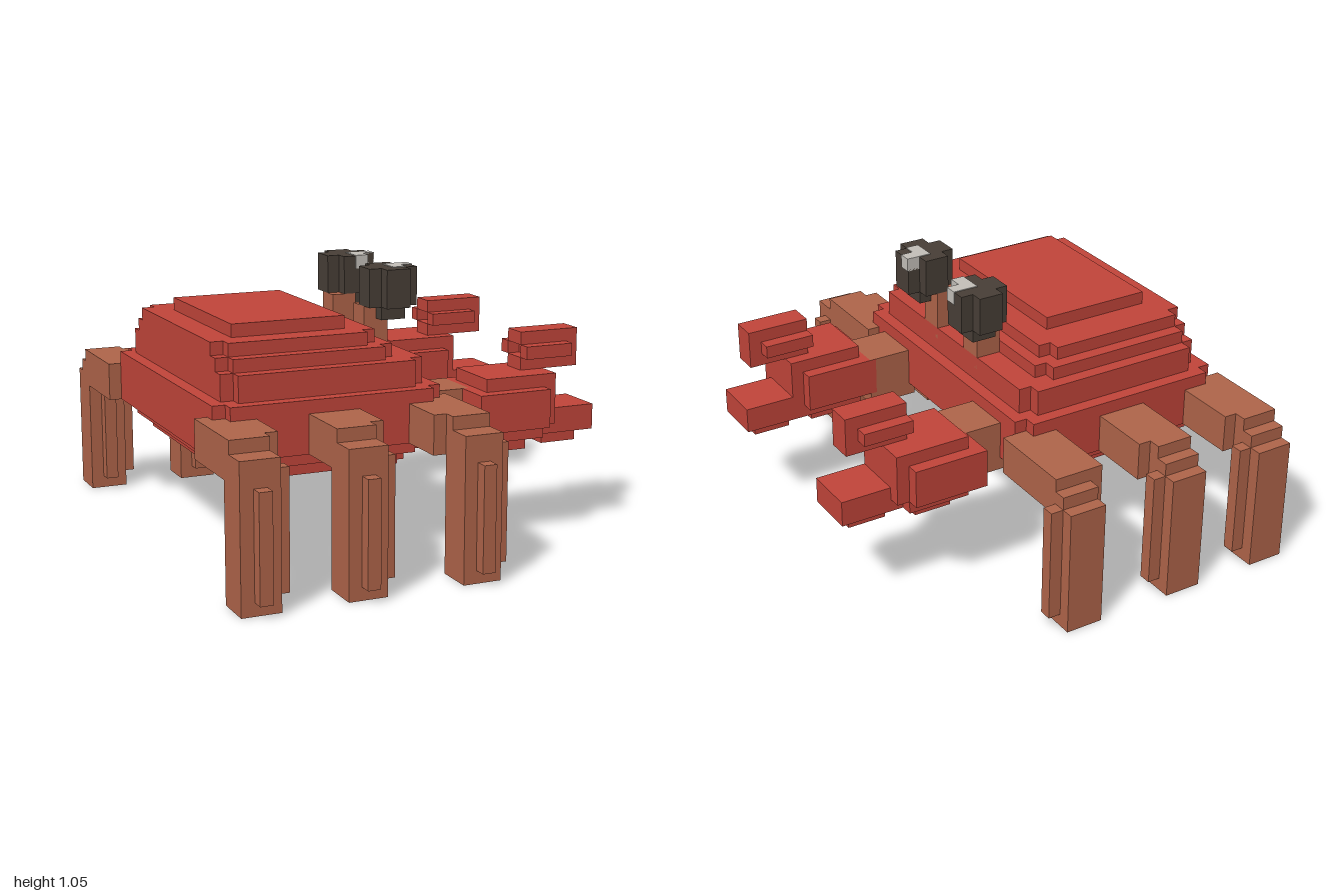
import * as THREE from 'three';

const mat = (name, color) => {
  const m = new THREE.MeshStandardMaterial({ color });
  m.name = name;
  return m;
};

export function createModel() {
  const red = mat('shell red', 0xc2453a);
  const brown = mat('limb brown', 0xb0654a);
  const dark = mat('eye dark', 0x483f37);
  const pale = mat('eye highlight', 0xc4c0ba);

  const model = new THREE.Group();
  model.name = 'blockCrab';

  const group = (name) => {
    const g = new THREE.Group();
    g.name = name;
    model.add(g);
    return g;
  };

  // Block given by its low and high limits on each axis
  const block = (parent, name, material, x0, x1, y0, y1, z0, z1) => {
    const mesh = new THREE.Mesh(new THREE.BoxGeometry(x1 - x0, y1 - y0, z1 - z0), material);
    mesh.position.set((x0 + x1) / 2, (y0 + y1) / 2, (z0 + z1) / 2);
    mesh.name = name;
    parent.add(mesh);
  };

  // Flat slab whose four corners are cut by a square notch
  const slab = (parent, name, material, x0, x1, y0, y1, z0, z1, n = 0.05) => {
    const cx = (x0 + x1) / 2, cz = (z0 + z1) / 2;
    const a = (x1 - x0) / 2, b = (z1 - z0) / 2;
    const pts = [
      [a, -b + n], [a, b - n], [a - n, b - n], [a - n, b], [-a + n, b], [-a + n, b - n],
      [-a, b - n], [-a, -b + n], [-a + n, -b + n], [-a + n, -b], [a - n, -b], [a - n, -b + n],
    ].map(([x, y]) => new THREE.Vector2(x, y));
    const geo = new THREE.ExtrudeGeometry(new THREE.Shape(pts), { depth: y1 - y0, bevelEnabled: false });
    geo.rotateX(-Math.PI / 2);
    const mesh = new THREE.Mesh(geo, material);
    mesh.position.set(cx, y0, cz);
    mesh.name = name;
    parent.add(mesh);
  };

  // Stepped shell, bottom to top: y0, y1, x0, x1, half depth
  const body = group('body');
  [
    [0.35, 0.4, -0.675, 0.025, 0.5],
    [0.4, 0.45, -0.725, 0.075, 0.55],
    [0.45, 0.65, -0.775, 0.125, 0.6],
    [0.65, 0.75, -0.725, 0.075, 0.55],
    [0.75, 0.8, -0.725, -0.025, 0.5],
    [0.8, 0.85, -0.725, -0.075, 0.45],
  ].forEach(([y0, y1, x0, x1, d]) => slab(body, 'shellLayer', red, x0, x1, y0, y1, -d, d));
  block(body, 'shellTop', red, -0.625, -0.175, 0.85, 0.9, -0.3, 0.35);

  // Six legs: start of the thigh and of the shin along x
  [[-0.825, -0.825], [-0.425, -0.425], [-0.025, 0.025]].forEach(([tx, sx]) => {
    [1, -1].forEach((side) => {
      const leg = group(side > 0 ? 'leftLeg' : 'rightLeg');
      // Thigh reaching outwards, with a stepped knee
      if (side > 0) {
        block(leg, 'thigh', brown, tx, tx + 0.2, 0.45, 0.6, 0.5, 0.8);
        block(leg, 'knee', brown, sx, sx + 0.15, 0.45, 0.6, 0.8, 0.85);
      } else {
        block(leg, 'thigh', brown, tx, tx + 0.2, 0.45, 0.6, -0.85, -0.55);
        block(leg, 'knee', brown, tx, sx + 0.15, 0.45, 0.6, -0.9, -0.85);
        block(leg, 'kneeStep', brown, sx, sx + 0.15, 0.45, 0.55, -0.95, -0.9);
      }
      // Shin with a ridge on two faces
      const z = side > 0 ? 0.8 : -1;
      block(leg, 'shin', brown, sx, sx + 0.15, 0, side > 0 ? 0.55 : 0.5, z, z + 0.15);
      block(leg, 'shinRidge', brown, sx + 0.05, sx + 0.1, 0.05, 0.45, z + 0.15, z + 0.2);
      block(leg, 'shinRidge', brown, sx + 0.15, sx + 0.2, 0.05, 0.5, z + 0.05, z + 0.1);
    });
  });

  // Claws and eyes, one on each side
  [1, -1].forEach((s) => {
    const side = s > 0 ? 'left' : 'right';
    const span = (a, b) => (s > 0 ? [a, b] : [-b, -a]);

    const claw = group(side + 'Claw');
    block(claw, 'arm', brown, 0.1, 0.3, 0.4, 0.6, ...span(0.25, 0.45));
    block(claw, 'palm', red, 0.275, 0.575, 0.45, 0.6, ...span(0.25, 0.6));
    block(claw, 'palmFront', red, 0.575, 0.625, 0.45, 0.6, ...span(0.3, 0.55));
    block(claw, 'palmTop', red, 0.325, 0.625, 0.6, 0.65, ...span(0.3, 0.55));
    block(claw, 'palmUnder', red, 0.325, 0.575, 0.4, 0.45, ...span(0.3, 0.55));
    block(claw, 'palmBase', red, 0.375, 0.525, 0.35, 0.4, ...span(0.35, 0.5));
    // Lower pincer
    block(claw, 'lowerPincer', red, 0.575, 0.825, 0.4, 0.5, ...span(0.3, 0.5));
    block(claw, 'lowerPincerBase', red, 0.625, 0.775, 0.35, 0.4, ...span(0.35, 0.45));
    // Upper pincer: a cross-shaped bar with a hollow rear end
    block(claw, 'upperPincer', red, 0.525, 0.775, 0.75, 0.8, ...span(0.35, 0.45));
    block(claw, 'upperPincer', red, 0.525, 0.775, 0.65, 0.7, ...span(0.35, 0.45));
    block(claw, 'upperPincer', red, 0.575, 0.775, 0.7, 0.75, ...span(0.35, 0.45));
    block(claw, 'upperPincer', red, 0.525, 0.725, 0.7, 0.75, ...span(0.3, 0.35));
    block(claw, 'upperPincer', red, 0.525, 0.725, 0.7, 0.75, ...span(0.45, 0.5));

    const eye = group(side + 'Eye');
    block(eye, 'eyeStalk', brown, -0.025, 0.075, 0.7, 0.9, ...span(0.1, 0.2));
    block(eye, 'eyeBase', dark, 0.025, 0.125, 0.85, 0.9, ...span(0.15, 0.25));
    slab(eye, 'eyeball', dark, -0.025, 0.175, 0.9, 1.05, ...span(0.1, 0.3));
    // Highlight on the top front corner, sitting just proud of the eye
    const e = 0.003;
    block(eye, 'eyeHighlight', pale, 0.075, 0.175 + e, 1, 1.05 + e, ...span(0.15, 0.2));
    const h = s > 0 ? [0.2, 0.25] : [-0.15, -0.1 + e];
    block(eye, 'eyeHighlight', pale, 0.075, 0.125 + e, 1, 1.05 + e, ...h);
  });

  return model;
}
